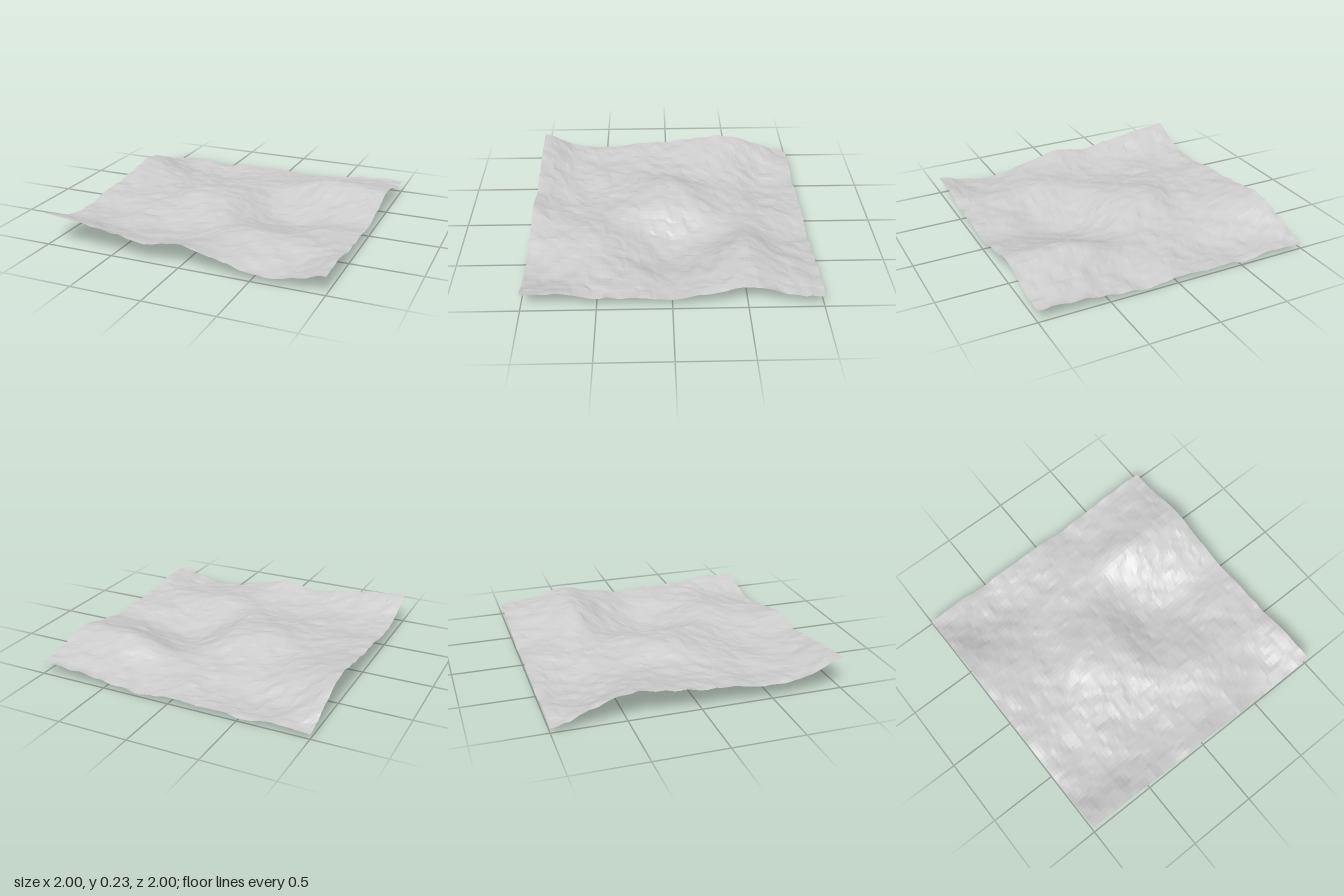
import * as THREE from 'three';

// Broad relief: heights in hundredths on a 9 x 9 grid, rows from back to front
const RELIEF = [
  [3.5, 6, 3.5, 5, 6, 3.5, 6, 9, 8.5],
  [12, 5, 2.5, 5, 7, 7, 10, 14, 12],
  [20, 13, 8, 8, 9, 12, 18.5, 19.5, 18],
  [18.5, 15, 11, 13, 12, 6, 8, 12, 12],
  [15, 12, 13, 19, 15, 3, 1.5, 6.5, 9],
  [13, 12, 12, 14, 13.5, 8, 7, 9, 9.5],
  [10, 9.5, 10, 9, 10.5, 14, 13, 11, 10.5],
  [13.5, 12, 10, 8.5, 10, 12, 10, 7.5, 14],
  [23, 21.5, 18, 14, 17.5, 12, 6.3, 7.5, 13.5],
];
const SEGMENTS = 64;

// Catmull-Rom interpolation along one line of samples
function spline(sample, t) {
  const i = Math.min(7, Math.max(0, Math.floor(t)));
  const f = t - i;
  const at = (k) => sample(Math.min(8, Math.max(0, k)));
  const a = at(i - 1), b = at(i), c = at(i + 1), d = at(i + 2);
  return b + 0.5 * f * (c - a + f * (2 * a - 5 * b + 4 * c - d + f * (3 * (b - c) + d - a)));
}

function relief(x, z) {
  const u = (x + 1) * 4, v = (z + 1) * 4;
  return spline((row) => spline((col) => RELIEF[row][col], u), v) / 100;
}

// Seeded value noise in the range -1..1
function hash(i, j) {
  let h = Math.imul(i + 101, 374761393) ^ Math.imul(j + 57, 668265263);
  h = Math.imul(h ^ (h >>> 13), 1274126177);
  return ((h ^ (h >>> 16)) >>> 0) / 2147483648 - 1;
}

function noise(x, z) {
  const i = Math.floor(x), j = Math.floor(z);
  const ease = (t) => t * t * (3 - 2 * t);
  const fx = ease(x - i), fz = ease(z - j);
  const { lerp } = THREE.MathUtils;
  return lerp(lerp(hash(i, j), hash(i + 1, j), fx), lerp(hash(i, j + 1), hash(i + 1, j + 1), fx), fz);
}

// Small bumps: three octaves of noise
function roughness(x, z) {
  return 0.009 * noise(x * 5.3, z * 5.3)
    + 0.007 * noise(x * 11.7 + 40, z * 11.7)
    + 0.005 * noise(x * 23.1, z * 23.1 + 80);
}

export function createModel() {
  const group = new THREE.Group();
  group.name = 'terrain';

  // Square sheet displaced into hills and hollows
  let geometry = new THREE.PlaneGeometry(2, 2, SEGMENTS, SEGMENTS).rotateX(-Math.PI / 2);
  const pos = geometry.attributes.position;
  for (let i = 0; i < pos.count; i++) {
    const x = pos.getX(i), z = pos.getZ(i);
    pos.setY(i, relief(x, z) + roughness(x, z));
  }
  geometry = geometry.toNonIndexed();
  geometry.computeVertexNormals();
  geometry.computeBoundingBox();
  geometry.translate(0, -geometry.boundingBox.min.y, 0);

  const ground = new THREE.Mesh(geometry, new THREE.MeshStandardMaterial({
    color: 0xcccccc, flatShading: true, side: THREE.DoubleSide,
  }));
  ground.name = 'groundSurface';
  group.add(ground);
  return group;
}
